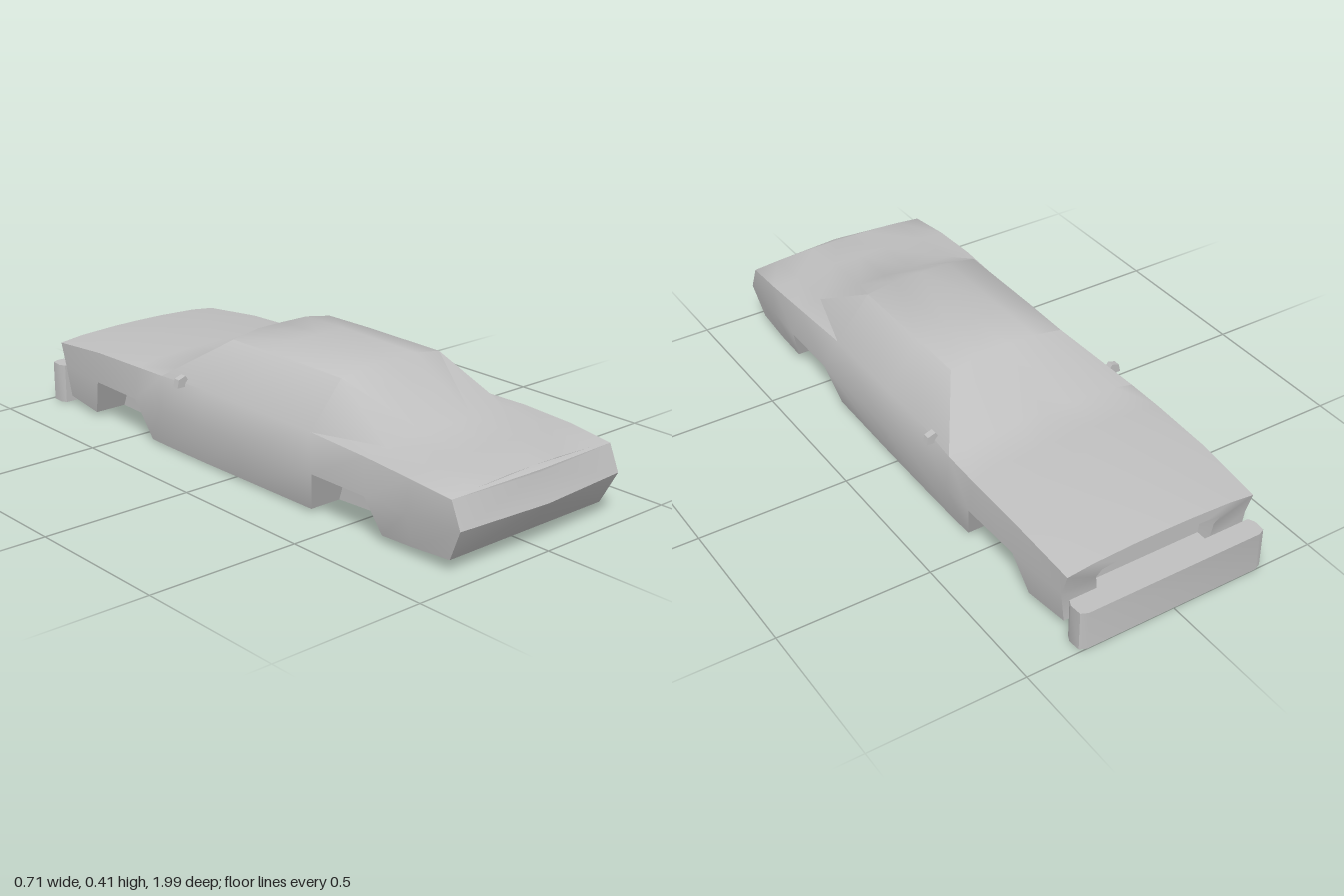
import * as THREE from 'three';
import { toCreasedNormals } from 'three/addons/utils/BufferGeometryUtils.js';

const paint = new THREE.MeshStandardMaterial({ color: 0xc0c0c0, side: THREE.DoubleSide });
paint.name = 'silver grey';

const WELL_X = 0.205; // inner wall of the wheel wells
const WELL_Y = 0.14;  // top of the wheel wells

// Half cross-section of the body, from bottom centre round the side to top centre.
// zLow moves the floor and sill, zBelt the widest line of the side.
function station(z, yb, xs, xm, xsh, ysh, xu, yu, yt, zLow = z, zBelt = z) {
  return [
    [0, yb, zLow], [WELL_X, yb, zLow], [xs, yb, zLow],
    [xm, WELL_Y, zBelt], [xsh, ysh, z], [xu, yu, z], [0.1, yt - 0.001, z], [0, yt, z],
  ];
}

function buildBody() {
  const nose = station(-0.93, 0.03, 0.31, 0.325, 0.325, 0.218, 0.24, 0.228, 0.235, -0.9, -0.905);
  // Grille opening: a smaller ring in the nose, then the same ring pushed back
  const lip = nose.map(([x, y, z]) => [x * 0.64, 0.155 + (y - 0.155) * 0.6, z]);
  const deep = lip.map(([x, y]) => [x, y, -0.85]);

  const stations = [
    deep, lip, nose,
    station(-0.69, 0.015, 0.318, 0.343, 0.333, 0.24, 0.25, 0.247, 0.26, -0.74),
    station(-0.47, 0.008, 0.318, 0.348, 0.335, 0.246, 0.26, 0.258, 0.268, -0.42),
    station(-0.34, 0.008, 0.32, 0.346, 0.333, 0.248, 0.27, 0.262, 0.275),
    station(-0.14, 0.008, 0.32, 0.346, 0.318, 0.25, 0.2, 0.388, 0.406),
    station(0.04, 0.01, 0.32, 0.346, 0.318, 0.25, 0.2, 0.39, 0.408),
    station(0.36, 0.01, 0.315, 0.35, 0.318, 0.25, 0.2, 0.388, 0.404, 0.36, 0.4),
    station(0.6, 0.025, 0.315, 0.348, 0.33, 0.248, 0.25, 0.257, 0.265, 0.66, 0.62),
    station(0.78, 0.03, 0.315, 0.34, 0.332, 0.238, 0.24, 0.244, 0.252),
    station(0.935, 0.038, 0.31, 0.325, 0.325, 0.222, 0.24, 0.23, 0.237, 0.92, 0.97),
  ];
  const wells = [3, 8]; // spans between stations that hold a wheel well

  const pos = [];
  const tri = (a, b, c) => {
    pos.push(...a, ...b, ...c);
    for (const p of [a, c, b]) pos.push(-p[0], p[1], p[2]);
  };
  const quad = (a, b, c, d) => { tri(a, b, c); tri(a, c, d); };
  const strip = (a, b) => {
    for (let i = 0; i < a.length - 1; i++) quad(a[i], a[i + 1], b[i + 1], b[i]);
  };

  for (let s = 0; s < stations.length - 1; s++) {
    const a = stations[s], b = stations[s + 1];
    if (!wells.includes(s)) { strip(a, b); continue; }
    // In a well the sill corner moves in and up, leaving a notch with two end walls
    const notch = (r) => r.map((p, i) => (i === 2 ? [WELL_X, WELL_Y, r[3][2]] : p));
    const na = notch(a), nb = notch(b);
    strip(na, nb);
    quad(a[1], a[2], a[3], na[2]);
    quad(b[1], nb[2], b[3], b[2]);
  }

  // End faces, bulging on the centre line
  const cap = (r, bulge, flip) => {
    const centre = (i) => (i === 2 ? r[0] : i === 6 ? r[7] : [0, r[i][1], r[i][2] + bulge]);
    for (let i = 2; i < 6; i++) {
      const q = [r[i], r[i + 1], centre(i + 1), centre(i)];
      quad(...(flip ? q.reverse() : q));
    }
  };
  cap(stations[0], 0, true);
  cap(stations[stations.length - 1], 0.022, false);

  const geo = new THREE.BufferGeometry();
  geo.setAttribute('position', new THREE.Float32BufferAttribute(pos, 3));
  return toCreasedNormals(geo, 0.75);
}

function extrude(points, depth) {
  const shape = new THREE.Shape(points.map(([x, y]) => new THREE.Vector2(x, y)));
  return new THREE.ExtrudeGeometry(shape, { depth, bevelEnabled: false });
}

export function createModel() {
  const group = new THREE.Group();
  const add = (name, geo) => {
    const mesh = new THREE.Mesh(geo, paint);
    mesh.name = name;
    group.add(mesh);
    return mesh;
  };

  add('body', buildBody());

  // Bumper: plan outline raised to its height, with slightly rounded front corners
  const bumper = extrude([
    [-0.315, 0.93], [0.315, 0.93], [0.325, 0.95], [0.322, 0.99],
    [0.3, 1], [-0.3, 1], [-0.322, 0.99], [-0.325, 0.95],
  ], 0.133);
  bumper.rotateX(-Math.PI / 2);
  add('frontBumper', toCreasedNormals(bumper, 0.75));

  // Door mirrors
  for (const side of [1, -1]) {
    const outline = [[0.308, 0.252], [0.318, 0.238], [0.355, 0.239], [0.349, 0.265], [0.323, 0.274]];
    const geo = extrude(outline.map(([x, y]) => [side * x, y]), 0.022);
    geo.translate(0, 0, -0.25);
    add(side > 0 ? 'leftMirror' : 'rightMirror', geo);
  }
  return group;
}
